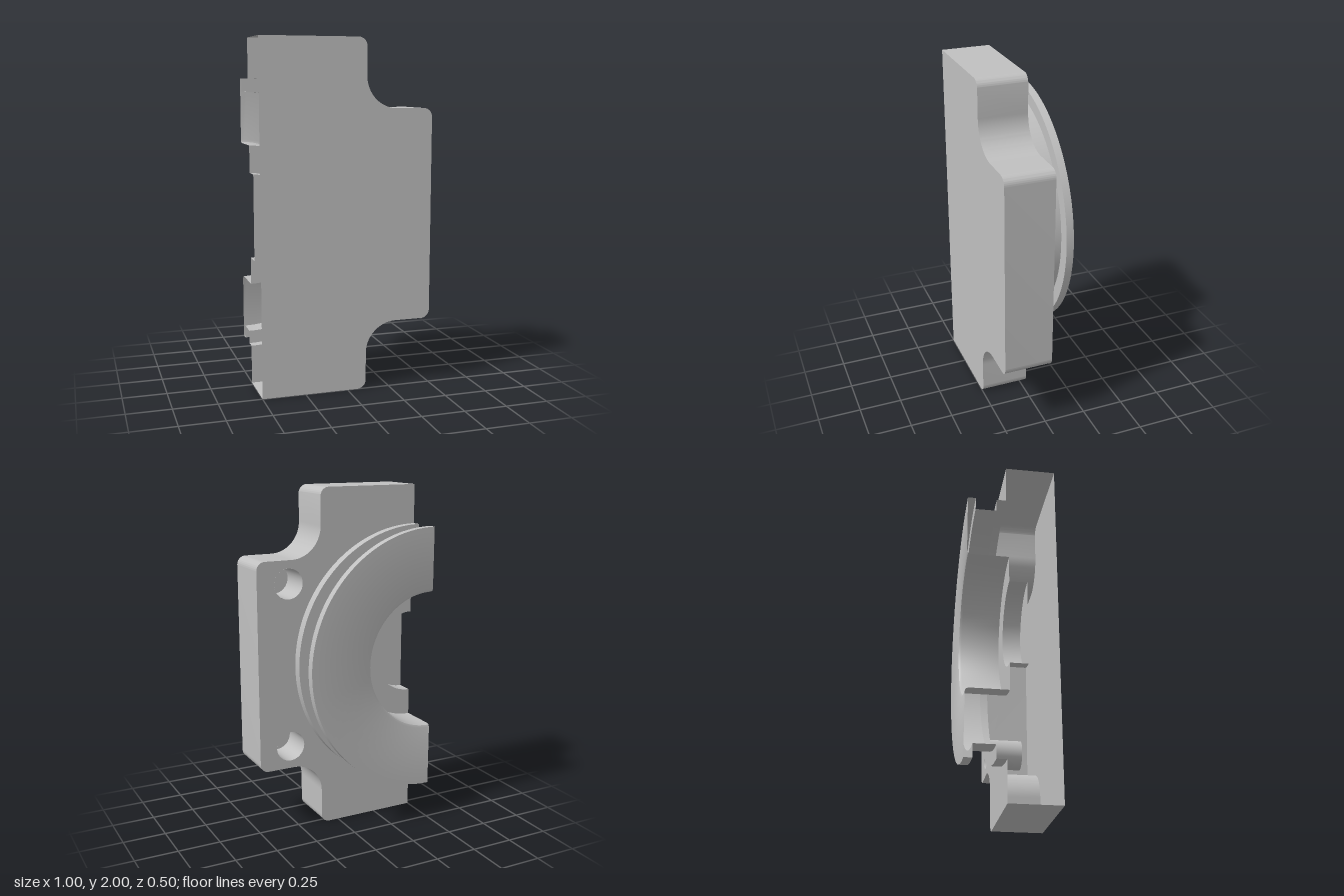
import * as THREE from 'three';
import { toCreasedNormals } from 'three/addons/utils/BufferGeometryUtils.js';

const CUT = -0.5, MID = 1;            // section plane x and height of the bore axis
const FRONT = 0.25, BACK = -0.035;    // plate faces
const SPIGOT_R = 0.775;
const BOLT = { x: 0.31, dy: 0.477, r: 0.087, floor: 0.17 };

// Stepped outline, starting and ending on the open section plane
function traceOutline(shape) {
  shape.moveTo(CUT, 0);
  shape.lineTo(0.06, 0);
  shape.absarc(0.06, 0.05, 0.05, -Math.PI / 2, 0, false);
  shape.absarc(0.29, 0.21, 0.18, Math.PI, Math.PI / 2, true);
  shape.absarc(0.45, 0.44, 0.05, -Math.PI / 2, 0, false);
  shape.absarc(0.45, 1.56, 0.05, 0, Math.PI / 2, false);
  shape.absarc(0.29, 1.79, 0.18, -Math.PI / 2, -Math.PI, true);
  shape.absarc(0.06, 1.95, 0.05, 0, Math.PI / 2, false);
  shape.lineTo(CUT, 2);
  return shape;
}

// Wall strip between the two plate faces, left open along the section
function wallGeometry() {
  const pts = traceOutline(new THREE.Path()).getPoints(12);
  const pos = [], index = [];
  pts.forEach((p, i) => {
    pos.push(p.x, p.y, BACK, p.x, p.y, FRONT);
    if (i > 0) {
      const a = 2 * (i - 1);
      index.push(a, a + 2, a + 3, a, a + 3, a + 1);
    }
  });
  const geo = new THREE.BufferGeometry();
  geo.setAttribute('position', new THREE.Float32BufferAttribute(pos, 3));
  geo.setIndex(index);
  geo.computeVertexNormals();
  return toCreasedNormals(geo, 0.5);
}

// Turned surface about the z axis from [radius, z] pairs
function turned(profile, segments, sweep) {
  const geo = new THREE.LatheGeometry(profile.map(([r, z]) => new THREE.Vector2(r, z)), segments, 0, sweep);
  return toCreasedNormals(geo.rotateX(Math.PI / 2), 0.5);
}

export function createModel() {
  const group = new THREE.Group();
  const metal = new THREE.MeshStandardMaterial({ color: 0xc0c0c0, side: THREE.DoubleSide });
  metal.name = 'grey metal';
  const add = (name, geo, x = 0, y = 0, z = 0) => {
    const mesh = new THREE.Mesh(geo, metal);
    mesh.name = name;
    mesh.position.set(x, y, z);
    group.add(mesh);
  };

  // Plate: closed front face and stepped side wall
  add('plateFront', new THREE.ShapeGeometry(traceOutline(new THREE.Shape()), 12), 0, 0, FRONT);
  add('plateWall', wallGeometry());

  // Plate back: cut away under the spigot and at the bolt holes
  const backShape = traceOutline(new THREE.Shape());
  backShape.absarc(CUT, MID, SPIGOT_R, Math.PI / 2, -Math.PI / 2, true);
  for (const s of [-1, 1]) {
    backShape.holes.push(new THREE.Path().absarc(BOLT.x, MID + s * BOLT.dy, BOLT.r, 0, Math.PI * 2, true));
  }
  const backGeo = new THREE.ShapeGeometry(backShape, 32);
  backGeo.index.array.reverse();      // face the rear
  backGeo.computeVertexNormals();
  add('plateBack', backGeo, 0, 0, BACK);

  // Half-round spigot: blind stepped bore, rear face and seal groove
  add('spigot', turned([
    [0, 0.08], [0.245, 0.08], [0.245, -0.02], [0.4, -0.02],
    [0.4, -0.235], [0.406, -0.249], [0.42, -0.255],
    [SPIGOT_R, -0.255], [SPIGOT_R, -0.21], [0.7, -0.21],
    [0.7, -0.09], [SPIGOT_R, -0.09], [SPIGOT_R, BACK],
  ], 64, Math.PI), CUT, MID);

  // Blind bolt holes
  for (const s of [-1, 1]) {
    add(s > 0 ? 'upperBoltHole' : 'lowerBoltHole',
      turned([[0, BOLT.floor], [BOLT.r, BOLT.floor], [BOLT.r, BACK]], 32, Math.PI * 2),
      BOLT.x, MID + s * BOLT.dy);
  }
  return group;
}
